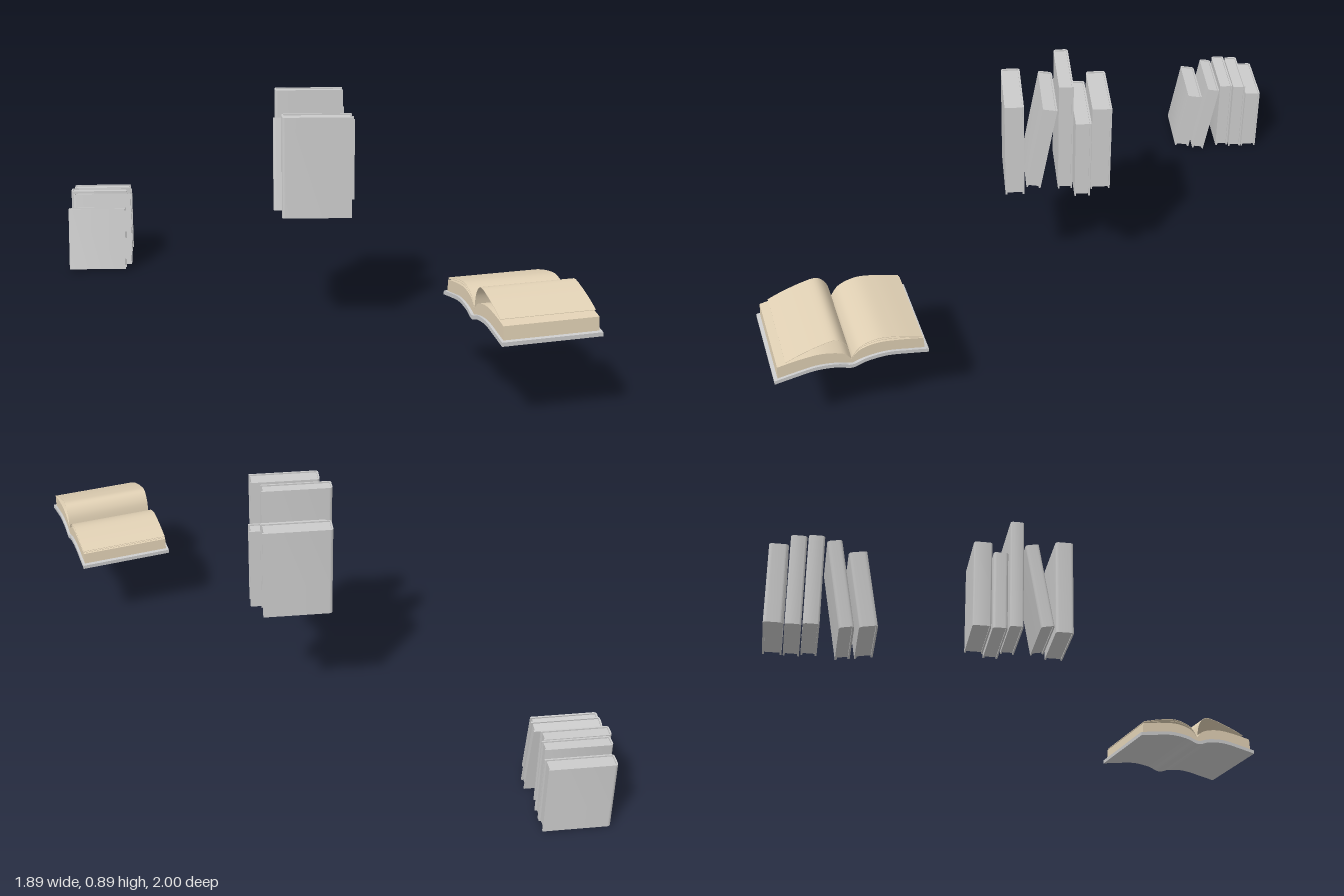
import * as THREE from 'three';
import { toCreasedNormals } from 'three/addons/utils/BufferGeometryUtils.js';

const grey = new THREE.MeshStandardMaterial({ color: 0xcccccc });
const paper = new THREE.MeshStandardMaterial({ color: 0xe0d0b4, side: THREE.DoubleSide });

function add(parent, name, geometry, material) {
  const mesh = new THREE.Mesh(geometry, material);
  mesh.name = name;
  parent.add(mesh);
  return mesh;
}

// Closed book standing upright: wrapped cover with a rounded spine at -x, page block set in
function closedBook(x0, x1, thickness, height, lean = 0) {
  const book = new THREE.Group();
  const t = 0.006, h = thickness / 2, w = x1 - x0, r = 0.012;
  const s = new THREE.Shape();
  s.moveTo(w, -h);
  s.lineTo(w, -h + t);
  s.lineTo(t, -h + t);
  s.lineTo(t, h - t);
  s.lineTo(w, h - t);
  s.lineTo(w, h);
  s.lineTo(r, h);
  s.quadraticCurveTo(0, h, 0, h - r);
  s.lineTo(0, -h + r);
  s.quadraticCurveTo(0, -h, r, -h);
  const cover = new THREE.ExtrudeGeometry(s, { depth: height, bevelEnabled: false, curveSegments: 4 });
  cover.rotateX(-Math.PI / 2).translate(x0, 0, 0);
  add(book, 'cover', toCreasedNormals(cover, 0.6), grey);

  const pages = new THREE.BoxGeometry(w - t - 0.006, height - 0.01, thickness - 2 * t);
  pages.translate(x0 + t + (w - t - 0.006) / 2, height / 2, 0);
  add(book, 'pageBlock', pages, grey);
  book.rotation.x = -lean;
  return book;
}

// Row of books: [x0, x1, z centre, thickness, height, lean]
function bookRow(name, baseY, rows) {
  const row = new THREE.Group();
  row.name = name;
  rows.forEach(([x0, x1, z, thickness, height, lean], i) => {
    const book = closedBook(x0, x1, thickness, height, lean);
    book.name = 'book' + (i + 1);
    book.position.set(0, baseY + Math.sin(lean) * thickness / 2, z);
    row.add(book);
  });
  return row;
}

// Smooth run of points across the open book, given as [distance from spine, height]
function curve(points, n = 20) {
  return new THREE.SplineCurve(points.map(p => new THREE.Vector2(p[0], p[1]))).getPoints(n);
}

// Solid between two curves, drawn out along the spine direction
function slab(top, bottom, length) {
  const shape = new THREE.Shape([...top, ...bottom.slice().reverse()]);
  const g = new THREE.ExtrudeGeometry(shape, { depth: length, bevelEnabled: false });
  g.translate(0, 0, -length / 2).rotateY(-Math.PI / 2);
  return toCreasedNormals(g, 0.6);
}

const raise = (pts, dy) => pts.map(p => new THREE.Vector2(p.x, p.y + dy));

function openBook() {
  const book = new THREE.Group();
  book.name = 'openBook';

  // Gull-winged cover
  const under = curve([[-0.26, 0.287], [-0.2, 0.298], [-0.12, 0.31], [-0.05, 0.304], [0, 0.289],
    [0.05, 0.304], [0.12, 0.31], [0.2, 0.298], [0.26, 0.287]], 40);
  add(book, 'openCover', slab(raise(under, 0.014), under, 0.35), grey);

  const sides = [
    { name: 'front', s: 1, top: [[0, 0.322], [0.03, 0.352], [0.1, 0.368], [0.18, 0.362], [0.245, 0.35]] },
    { name: 'back', s: -1, top: [[0, 0.322], [0.03, 0.352], [0.09, 0.366], [0.16, 0.36], [0.245, 0.345]] },
  ];
  const bed = [[0, 0.303], [0.05, 0.318], [0.12, 0.324], [0.2, 0.312], [0.248, 0.303]];
  for (const { name, s, top } of sides) {
    const flip = pts => pts.map(([v, y]) => [v * s, y]);
    add(book, name + 'PageBlock', slab(curve(flip(top)), curve(flip(bed)), 0.332), paper);
  }

  // Loose leaves: one arched high on the front half, a few gently lifted on the back half
  const leaves = [
    [[0, 0.322], [0.012, 0.38], [0.045, 0.413], [0.1, 0.405], [0.17, 0.382], [0.216, 0.362]],
    [[0, 0.322], [-0.03, 0.362], [-0.09, 0.382], [-0.16, 0.374], [-0.24, 0.353]],
    [[0, 0.322], [-0.03, 0.357], [-0.09, 0.374], [-0.16, 0.367], [-0.243, 0.349]],
  ];
  leaves.forEach((pts, i) => {
    const line = curve(pts, 24);
    add(book, 'leaf' + (i + 1), slab(raise(line, 0.0015), line, 0.332), paper);
  });

  book.position.set(0.712, 0, 0.703);
  book.rotation.y = 0.24;
  return book;
}

export function createModel() {
  const model = new THREE.Group();
  model.name = 'books';
  model.add(bookRow('lowerRow', 0, [
    [-0.945, -0.71, -0.685, 0.058, 0.253, 0.172],
    [-0.93, -0.69, -0.75, 0.047, 0.296, 0.172],
    [-0.945, -0.71, -0.856, 0.05, 0.3, 0],
    [-0.935, -0.7, -0.91, 0.05, 0.3, 0],
    [-0.937, -0.7, -0.969, 0.06, 0.265, 0],
  ]));
  model.add(bookRow('upperRow', 0.453, [
    [-0.07, 0.185, 0.081, 0.068, 0.377, 0],
    [-0.1, 0.155, 0.012, 0.052, 0.341, 0.175],
    [-0.092, 0.16, -0.103, 0.052, 0.437, 0],
    [-0.07, 0.21, -0.161, 0.056, 0.313, 0],
    [-0.078, 0.172, -0.23, 0.07, 0.347, 0],
  ]));
  model.add(openBook());
  return model;
}
